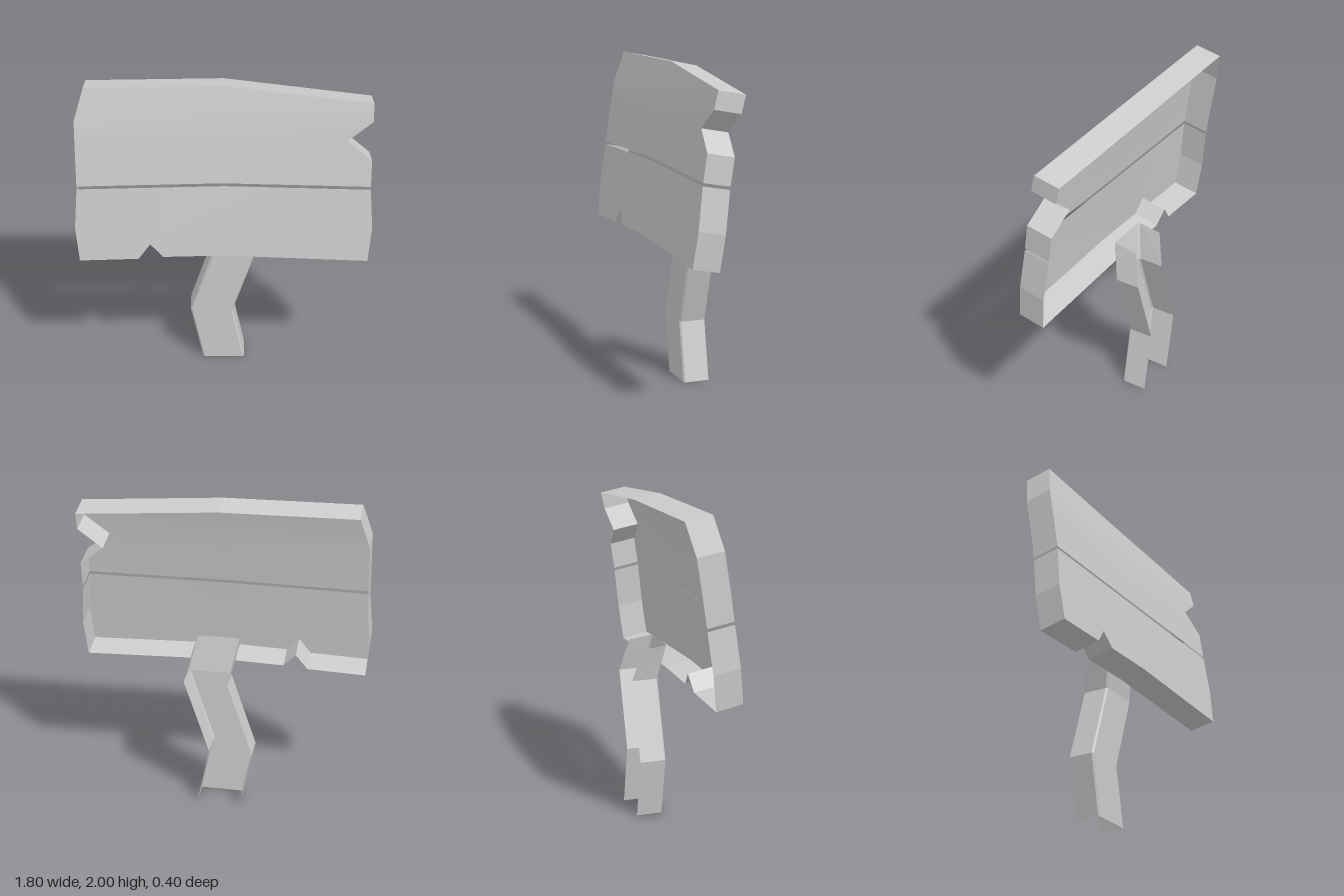
import * as THREE from 'three';

const material = new THREE.MeshStandardMaterial({ color: 0xcccccc, side: THREE.DoubleSide });

// Geometry from a grid of points: rows run upward, columns run left to right
function gridGeometry(rows, flat) {
  const cols = rows[0].length, index = [];
  for (let r = 0; r < rows.length - 1; r++) {
    for (let c = 0; c < cols - 1; c++) {
      const a = r * cols + c, b = a + 1, d = a + cols, e = d + 1;
      index.push(a, b, e, a, e, d);
    }
  }
  let geo = new THREE.BufferGeometry();
  geo.setAttribute('position', new THREE.Float32BufferAttribute(rows.flat(2), 3));
  geo.setIndex(index);
  if (flat) geo = geo.toNonIndexed();
  geo.computeVertexNormals();
  return geo;
}

function addMesh(parent, name, geo) {
  const mesh = new THREE.Mesh(geo, material);
  mesh.name = name;
  parent.add(mesh);
}

// Leaning board surface: side profile (y, z) plus a slight fold on the centre line
const profile = [[0.91, 0.2], [1.12, 0.175], [1.4, 0.14], [1.57, 0.115], [1.8, 0.078], [2, 0.03]];
function onBoard([x, y]) {
  let i = 0;
  while (i < profile.length - 2 && y > profile[i + 1][0]) i++;
  const [y0, z0] = profile[i], [y1, z1] = profile[i + 1];
  const t = Math.max(0, (y - y0) / (y1 - y0));
  const fold = 0.03 * Math.max(0, (y - 0.94) / 1.06) * (1 - Math.abs(x) / 0.88);
  return [x, y, z0 + (z1 - z0) * t - fold];
}

// A plank is a face with a rim folded back along the given open edge path
function plank(name, rows, rimPath) {
  const group = new THREE.Group();
  group.name = name;
  addMesh(group, name + 'Face', gridGeometry(rows.map(row => row.map(onBoard))));
  const front = rimPath.map(onBoard);
  const back = front.map(([x, y, z]) => [x, y - 0.031, z - 0.165]);
  addMesh(group, name + 'Rim', gridGeometry([back, front], true));
  return group;
}

const column = (rows, i) => rows.map(row => row.at(i));

export function createModel() {
  const model = new THREE.Group();
  model.name = 'brokenSign';

  // Upper plank with a notch in its left edge and a sloping top
  const upper = [
    [[-0.88, 1.4], [0, 1.415], [0.88, 1.4]],
    [[-0.88, 1.565], [0, 1.565], [0.88, 1.565]],
    [[-0.88, 1.685], [0, 1.685], [0.73, 1.685]],
    [[-0.88, 1.805], [0, 1.805], [0.88, 1.805]],
    [[-0.82, 2], [0, 2], [0.88, 1.912]],
  ];
  model.add(plank('upperPlank', upper, [
    ...column(upper, -1),
    ...upper.at(-1).slice(0, -1).reverse(),
    ...column(upper, 0).reverse().slice(1),
  ]));

  // Lower plank with a notch in its bottom edge
  const xs = [-0.9, -0.52, -0.447, -0.37, 0, 0.9];
  const lower = [
    [[-0.88, 0.91], [-0.52, 0.922], [-0.447, 1.02], [-0.37, 0.935], [0, 0.945], [0.88, 0.91]],
    xs.map(x => [x, 1.13]),
    xs.map(x => [x * (Math.abs(x) > 0.8 ? 0.978 : 1), 1.397 - 0.017 * Math.abs(x)]),
  ];
  model.add(plank('lowerPlank', lower, [
    ...column(lower, 0).reverse(),
    ...lower[0].slice(1),
    ...column(lower, -1).slice(1),
  ]));

  // Crooked post: an open-backed channel swept through [y, centre x, front z, back z, back drop]
  const stations = [
    [0, 0, -0.035, -0.2, 0],
    [0.375, -0.077, -0.035, -0.2, 0],
    [0.855, 0.08, -0.035, -0.2, 0],
    [1.08, 0.028, 0.005, -0.15, 0.02],
  ];
  const w = 0.136, bevel = 0.01;
  const post = stations.map(([y, x, zf, zb, drop]) => [
    [x - w, y - drop, zb], [x - w, y, zf - bevel], [x - w + bevel, y, zf],
    [x + w - bevel, y, zf], [x + w, y, zf - bevel], [x + w, y - drop, zb],
  ]);
  addMesh(model, 'post', gridGeometry(post, true));

  return model;
}
